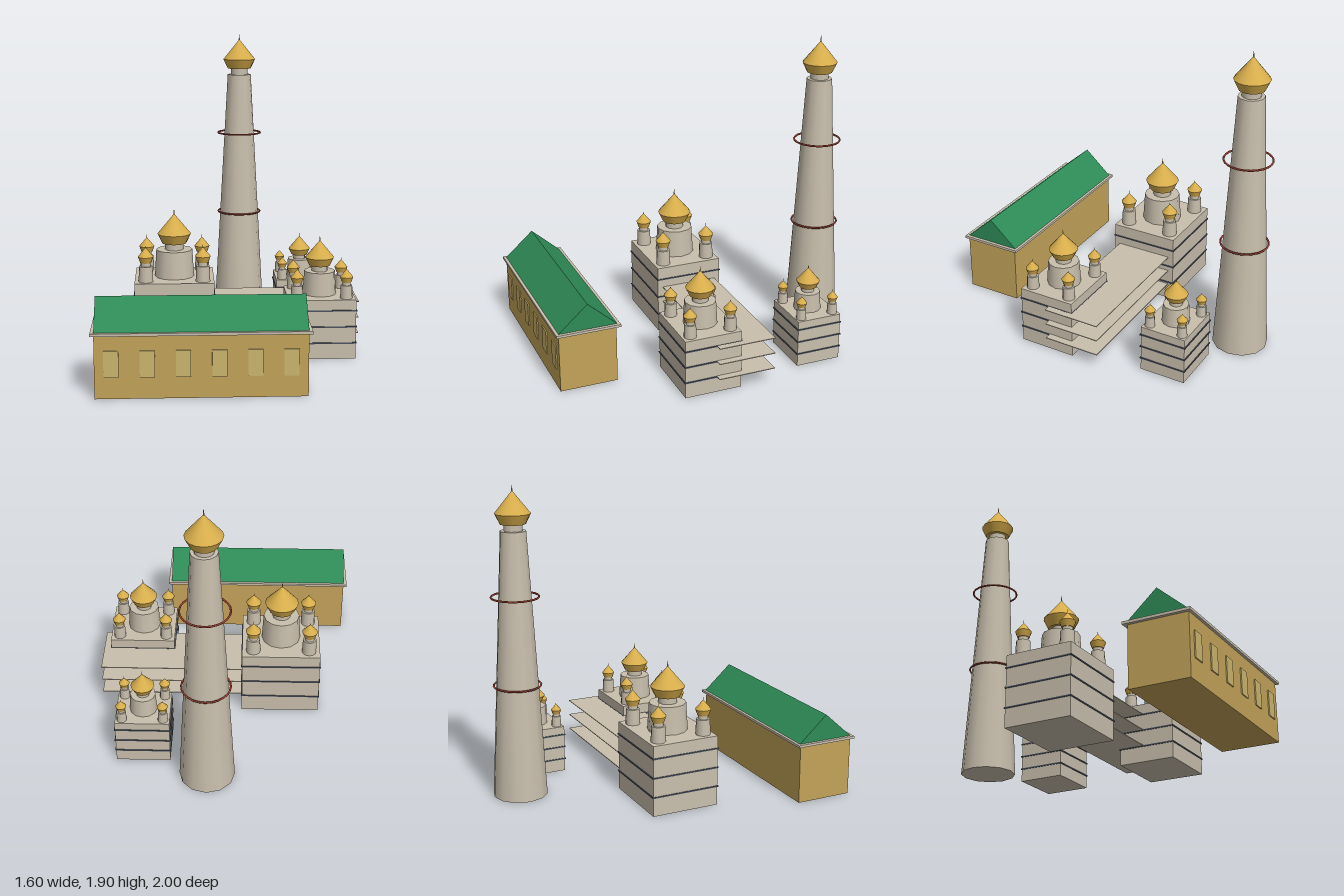
import * as THREE from 'three';

const mat = (name, color) => Object.assign(new THREE.MeshStandardMaterial({ color }), { name });

export function createModel() {
  const stone = mat('stone', 0xc9bfad);
  const ochre = mat('ochre plaster', 0xc4a35a);
  const pane = mat('window pane', 0xcdb66e);
  const green = mat('green roof', 0x2e8b57);
  const gold = mat('gold', 0xd8ae4c);
  const slate = mat('slate band', 0x4a5260);
  const red = mat('red ring', 0x9a4030);

  const root = new THREE.Group();
  root.name = 'compound';

  const add = (parent, name, geometry, material, x, y, z) => {
    const mesh = new THREE.Mesh(geometry, material);
    mesh.name = name;
    mesh.position.set(x, y, z);
    parent.add(mesh);
    return mesh;
  };
  const group = (name, x, y, z) => {
    const g = new THREE.Group();
    g.name = name;
    g.position.set(x, y, z);
    root.add(g);
    return g;
  };
  // Boxes and cylinders stand on the given y
  const box = (p, name, m, w, h, d, x, y, z) =>
    add(p, name, new THREE.BoxGeometry(w, h, d), m, x, y + h / 2, z);
  const drum = (p, name, m, rTop, rBottom, h, x, y, z, sides = 12) =>
    add(p, name, new THREE.CylinderGeometry(rTop, rBottom, h, sides), m, x, y + h / 2, z);

  // Gold dome: flared base, pointed cap and needle
  const dome = (p, r, base, wide, tip, top, x, z) => {
    drum(p, 'domeBase', gold, r, r * 0.72, wide - base, x, base, z, 16);
    add(p, 'domeCap', new THREE.ConeGeometry(r, tip - wide, 16), gold, x, (wide + tip) / 2, z);
    const low = tip - (tip - wide) * 0.12;
    drum(p, 'finial', gold, r * 0.01, r * 0.06, top - low, x, low, z, 6);
  };

  // Long hall with cornice, gabled roof and a row of windows
  const hall = group('hall', -0.19, 0, 0.8);
  box(hall, 'hallWalls', ochre, 1.18, 0.36, 0.355, 0, 0, 0.003);
  box(hall, 'hallCornice', stone, 1.22, 0.016, 0.395, 0, 0.36, 0);
  const gable = new THREE.Shape([
    new THREE.Vector2(-0.18, 0), new THREE.Vector2(0.18, 0), new THREE.Vector2(0, 0.16),
  ]);
  const roof = new THREE.ExtrudeGeometry(gable, { depth: 1.18, bevelEnabled: false });
  roof.translate(0, 0, -0.59).rotateY(Math.PI / 2);
  add(hall, 'hallRoof', roof, green, 0, 0.376, 0);
  for (let i = 0; i < 6; i++) {
    box(hall, 'hallWindow', pane, 0.083, 0.152, 0.008, -0.497 + i * 0.1985, 0.123, 0.1835);
  }

  // Five-domed church; all sizes follow its width w
  const church = (name, w, x, z) => {
    const g = group(name, x, 0, z);
    const h = w * 0.875, d = w * 0.87;
    box(g, 'churchBody', stone, w - 0.01, h, d - 0.01, 0, 0, 0);
    for (const k of [0.27, 0.545, 0.82]) {
      box(g, 'wallBand', slate, w, 0.008, d, 0, h * k - 0.004, 0);
    }
    drum(g, 'mainDrum', stone, w * 0.225, w * 0.245, w * 0.34, 0, h, 0);
    drum(g, 'mainNeck', stone, w * 0.115, w * 0.115, w * 0.08, 0, h + w * 0.34, 0);
    dome(g, w * 0.21, h + w * 0.42, h + w * 0.54, h + w * 0.79, h + w * 0.85, 0, 0);
    for (const sx of [-1, 1]) {
      for (const sz of [-1, 1]) {
        const cx = sx * (w * 0.32 + 0.0155), cz = sz * (w * 0.268 + 0.0142);
        drum(g, 'cornerDrum', stone, w * 0.083, w * 0.09, w * 0.195, cx, h, cz);
        drum(g, 'cornerNeck', stone, w * 0.06, w * 0.06, w * 0.05, cx, h + w * 0.195, cz);
        dome(g, w * 0.096, h + w * 0.24, h + w * 0.315, h + w * 0.43, h + w * 0.465, cx, cz);
      }
    }
  };
  church('largeChurch', 0.5, -0.34, -0.043);
  church('middleChurch', 0.42, 0.55, 0.155);
  church('smallChurch', 0.34, 0.5, -0.587);

  // Thin stacked terraces linking the churches
  for (const y of [0.1, 0.2, 0.3]) {
    box(root, 'terrace', stone, 1.1, 0.005, 0.357, 0.25, y, -0.043);
  }

  // Tapered tower with hoops and a gold dome
  const tower = group('tower', 0.105, 0, -0.83);
  drum(tower, 'towerShaft', stone, 0.078, 0.168, 1.635, 0, 0, 0);
  drum(tower, 'towerNeck', stone, 0.056, 0.056, 0.045, 0, 1.635, 0);
  dome(tower, 0.107, 1.675, 1.737, 1.87, 1.9, 0, 0);
  for (const y of [0.695, 1.24]) {
    const hoop = add(tower, 'towerHoop', new THREE.TorusGeometry(0.143, 0.006, 6, 24), red, 0, y, 0);
    hoop.rotation.x = Math.PI / 2;
  }
  return root;
}
